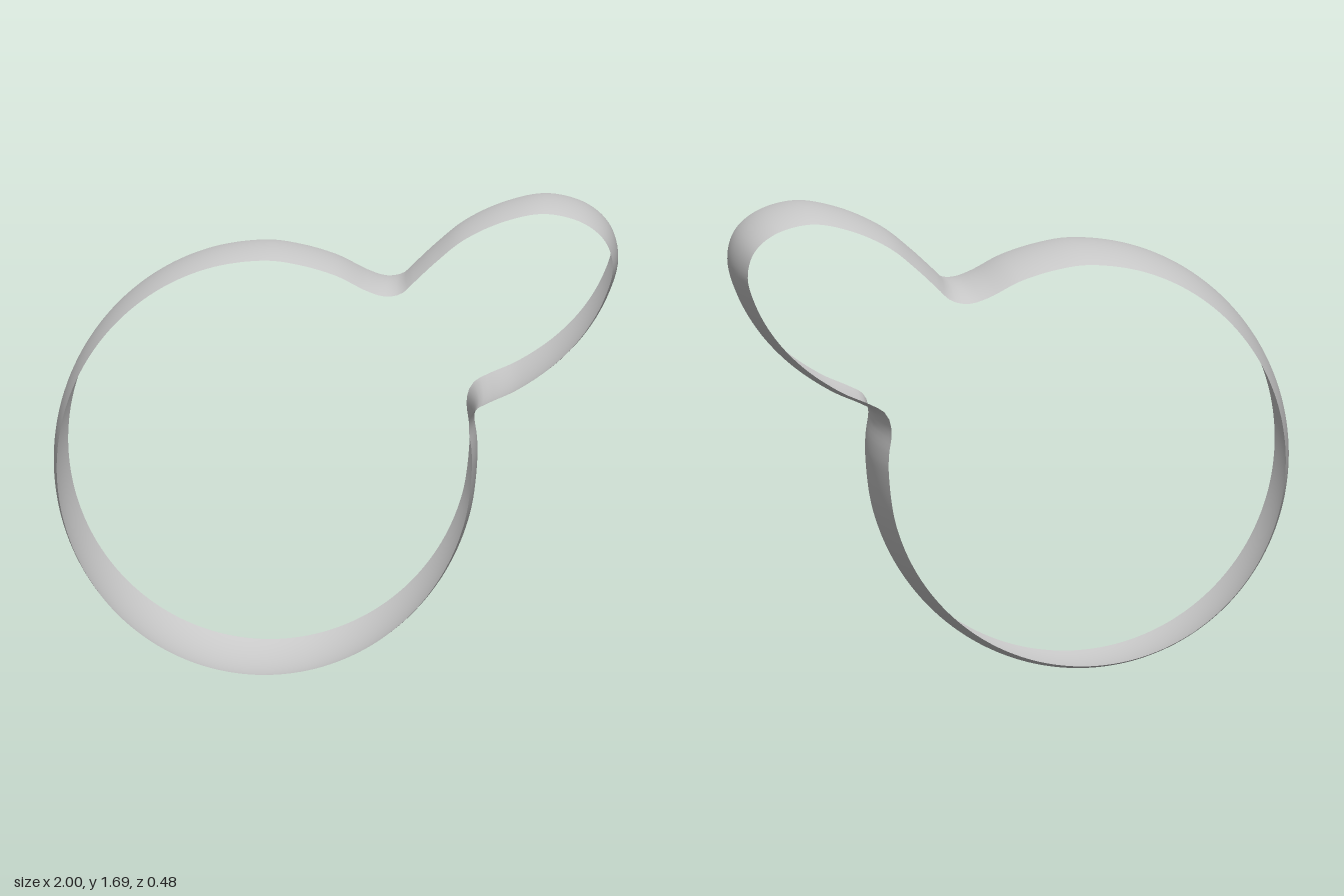
import * as THREE from 'three';

// Widest outline of the band, counter-clockwise: lower neck, small lobe, upper neck
const lobe = [
  [0.498, 0.83], [0.489, 0.91], [0.502, 0.953], [0.548, 0.98], [0.65, 1.027], [0.783, 1.118],
  [0.89, 1.23], [0.965, 1.358], [0.998, 1.476], [0.972, 1.578], [0.89, 1.652],
  [0.746, 1.69], [0.596, 1.663], [0.446, 1.594], [0.345, 1.513], [0.265, 1.438],
  [0.227, 1.403], [0.18, 1.394], [0.12, 1.412], [0.008, 1.468], [-0.126, 1.508],
];

function outline() {
  const pts = lobe.map(([x, y]) => new THREE.Vector3(x, y, 0));
  // Large round lobe, from its top round to its right side
  for (let i = 0; i <= 18; i++) {
    const a = Math.PI / 2 + (i / 18) * Math.PI * 1.5;
    pts.push(new THREE.Vector3(-0.25 + 0.75 * Math.cos(a), 0.762 + 0.762 * Math.sin(a), 0));
  }
  return new THREE.CatmullRomCurve3(pts, true, 'centripetal');
}

// Open strip swept along the outline, bulging across its width
function bandGeometry(around = 320, across = 16) {
  const curve = outline();
  curve.arcLengthDivisions = 1000;
  const pos = [], idx = [];
  for (let i = 0; i < around; i++) {
    const p = curve.getPointAt(i / around);
    const t = curve.getTangentAt(i / around);
    // Distance along the axis from the large lobe to the small one
    const s = (p.x + 0.24) * 0.73 + (p.y - 0.75) * 0.68;
    const front = 0.222 - 0.025 * s - 0.007 * s * s;
    const crest = 0.045 - 0.035 * s;
    for (let j = 0; j <= across; j++) {
      const z = THREE.MathUtils.lerp(-0.24, front, j / across);
      const inset = 0.48 * (z - crest) ** 2;
      pos.push(p.x - t.y * inset, p.y + t.x * inset, z);
    }
  }
  const row = across + 1;
  for (let i = 0; i < around; i++) {
    for (let j = 0; j < across; j++) {
      const a = i * row + j, b = ((i + 1) % around) * row + j;
      idx.push(a, b, b + 1, a, b + 1, a + 1);
    }
  }
  const g = new THREE.BufferGeometry();
  g.setAttribute('position', new THREE.Float32BufferAttribute(pos, 3));
  g.setIndex(idx);
  g.computeVertexNormals();
  return g;
}

export function createModel() {
  const group = new THREE.Group();
  const band = new THREE.Mesh(
    bandGeometry(),
    new THREE.MeshStandardMaterial({ color: 0xcccccc, side: THREE.DoubleSide })
  );
  band.name = 'bulgedBand';
  group.add(band);
  return group;
}
